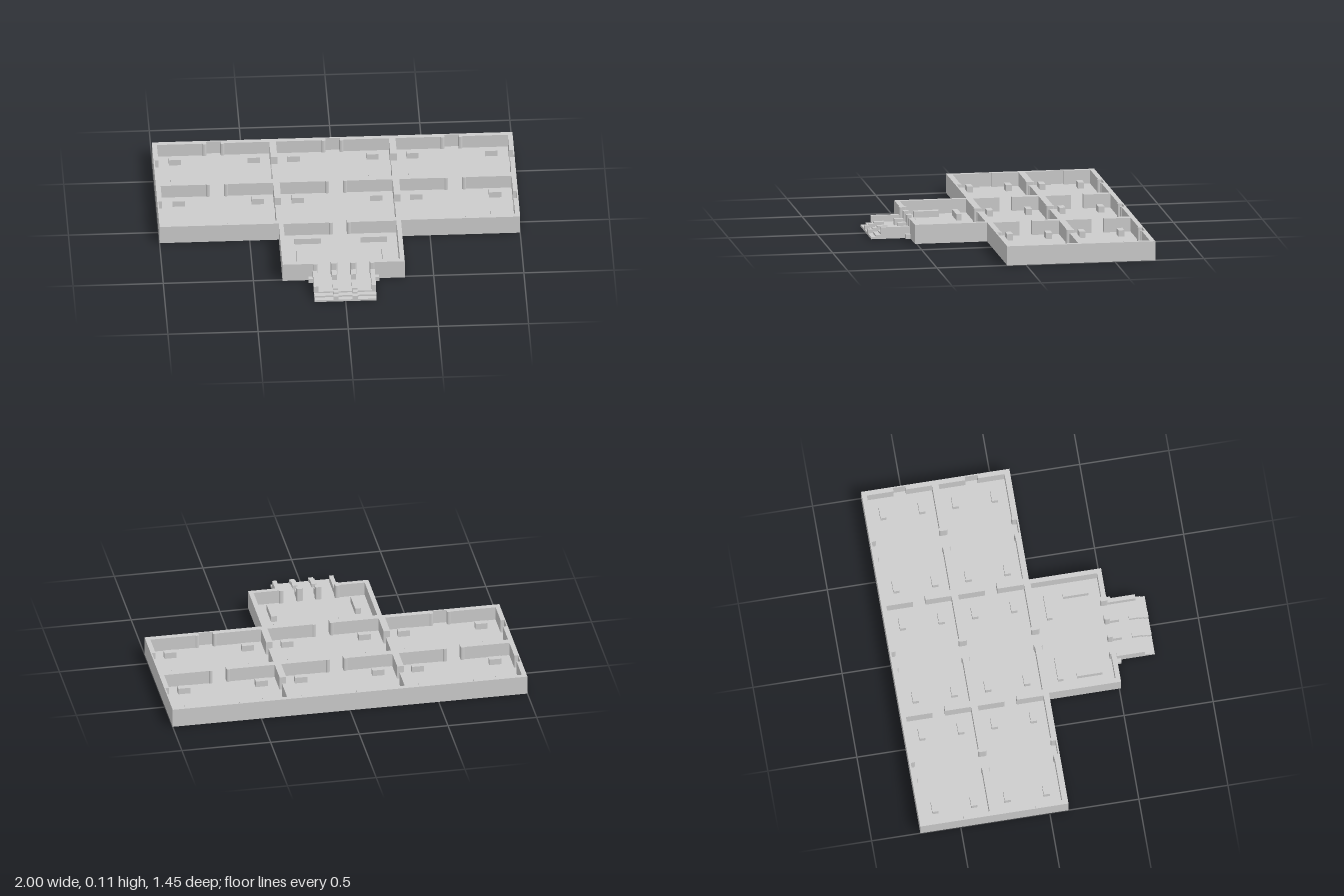
import * as THREE from 'three';

const material = new THREE.MeshStandardMaterial({ color: 0xcccccc, flatShading: true });
const FLOOR = 0.03, TOP = 0.108, LOW = 0.065;

export function createModel() {
  const model = new THREE.Group();

  const add = (name, geometry) => {
    const mesh = new THREE.Mesh(geometry, material);
    mesh.name = name;
    model.add(mesh);
  };
  // Box given by its limits in x, z and y
  const box = (name, x0, x1, z0, z1, y1, y0 = FLOOR - 0.005) => {
    const g = new THREE.BoxGeometry(x1 - x0, y1 - y0, z1 - z0);
    add(name, g.translate((x0 + x1) / 2, (y0 + y1) / 2, (z0 + z1) / 2));
  };
  // Same box on both sides of the x = 0 plane
  const pair = (name, x0, x1, ...rest) => {
    box(name + 'Left', x0, x1, ...rest);
    box(name + 'Right', -x1, -x0, ...rest);
  };
  // Plan outline in x, z raised from y0 to y1
  const plan = (name, points, y0, y1) => {
    const shape = new THREE.Shape(points.map(([x, z]) => new THREE.Vector2(x, z)));
    const g = new THREE.ExtrudeGeometry(shape, { depth: y1 - y0, bevelEnabled: false });
    add(name, g.rotateX(Math.PI / 2).translate(0, y1, 0));
  };
  const mirror = (points) => points.map(([x, z]) => [-x, z]);
  // Door post with rounded corners, on both sides
  const jamb = (name, x, z, w = 0.022, d = 0.047, y1 = TOP) => {
    const a = w / 2, b = d / 2, c = 0.007;
    const points = [[a, b - c], [a - c * 0.3, b - c * 0.3], [a - c, b], [c - a, b], [c * 0.3 - a, b - c * 0.3],
      [-a, b - c], [-a, c - b], [c * 0.3 - a, c * 0.3 - b], [c - a, -b], [a - c, -b],
      [a - c * 0.3, c * 0.3 - b], [a, c - b]];
    for (const s of [1, -1]) plan(name, points.map(([px, pz]) => [s * x + px, z + pz]), FLOOR - 0.005, y1);
  };

  // Floor slab of the wings, hall and porch
  const floorHalf = [[0.172, 0.672], [0.172, 0.51], [0.339, 0.51], [0.339, 0.105], [1, 0.105], [1, -0.727]];
  plan('floor', [...floorHalf, ...mirror(floorHalf).reverse()], 0, FLOOR);

  // Outer wall with shallow door niches on the inside, one half then its mirror
  const wallHalf = [
    [0.15, 0.51], [0.339, 0.51], [0.339, 0.105], [1, 0.105], [1, -0.727], [0, -0.727],
    [0, -0.718], [0.04, -0.718], [0.04, -0.7], [0.62, -0.7], [0.62, -0.718], [0.7, -0.718], [0.7, -0.7],
    [0.973, -0.7], [0.973, -0.55], [0.993, -0.55], [0.993, -0.48], [0.973, -0.48],
    [0.973, -0.147], [0.993, -0.147], [0.993, -0.077], [0.973, -0.077], [0.973, 0.073],
    [0.7, 0.073], [0.7, 0.096], [0.62, 0.096], [0.62, 0.073], [0.313, 0.073], [0.313, 0.483], [0.15, 0.483],
  ];
  plan('outerWallLeft', wallHalf, 0, TOP);
  plan('outerWallRight', mirror(wallHalf), 0, TOP);

  // Inner walls between the rooms
  for (const [z0, z1] of [[-0.7, -0.55], [-0.48, -0.147], [-0.077, 0.075]]) {
    pair('crossWall', 0.313, 0.35, z0, z1, TOP);
  }
  for (const [x0, x1] of [[0.04, 0.315], [0.348, 0.62], [0.7, 0.975]]) {
    pair('middleWall', x0, x1, -0.334, -0.297, TOP);
  }
  pair('hallWall', 0.04, 0.315, 0.073, 0.11, TOP);

  // Posts beside the doorways and niches
  for (const x of [0.05, 0.61, 0.71]) {
    jamb('doorPost', x, -0.315);
    jamb('backNichePost', x, -0.709, 0.022, 0.032);
    if (x > 0.1) jamb('frontNichePost', x, 0.084, 0.022, 0.032);
  }
  jamb('hallDoorPost', 0.05, 0.0915);
  jamb('entrancePost', 0.158, 0.495, 0.026, 0.042, TOP);

  // Low blocks in the corners of the six rooms
  for (const z of [-0.627, -0.409, -0.221, -0.002]) {
    for (const x of [0.218, 0.44, 0.877]) {
      pair('roomBlock', x - 0.034, x + 0.034, z - 0.017, z + 0.017, LOW);
    }
  }
  // Benches in the hall
  pair('hallBackBench', 0.11, 0.255, 0.17, 0.2, LOW);
  pair('hallSideBench', 0.221, 0.253, 0.278, 0.42, LOW);

  // Porch: side walls, outside blocks, entrance piers and steps
  pair('porchWall', 0.148, 0.172, 0.505, 0.672, LOW, 0);
  pair('porchFoot', 0.17, 0.196, 0.505, 0.537, 0.025, 0);
  jamb('entrancePier', 0.053, 0.495, 0.036, 0.032, TOP);
  pair('pierFoot', 0.039, 0.067, 0.5, 0.56, LOW);
  box('upperStep', -0.172, 0.172, 0.67, 0.7, 0.022, 0);
  box('lowerStep', -0.172, 0.172, 0.698, 0.727, 0.012, 0);
  pair('stairCheekTop', 0.039, 0.067, 0.618, 0.675, 0.052);
  pair('stairCheekMiddle', 0.039, 0.067, 0.673, 0.702, 0.042, 0.01);
  pair('stairCheekLow', 0.039, 0.067, 0.7, 0.727, 0.033, 0.005);

  return model;
}
